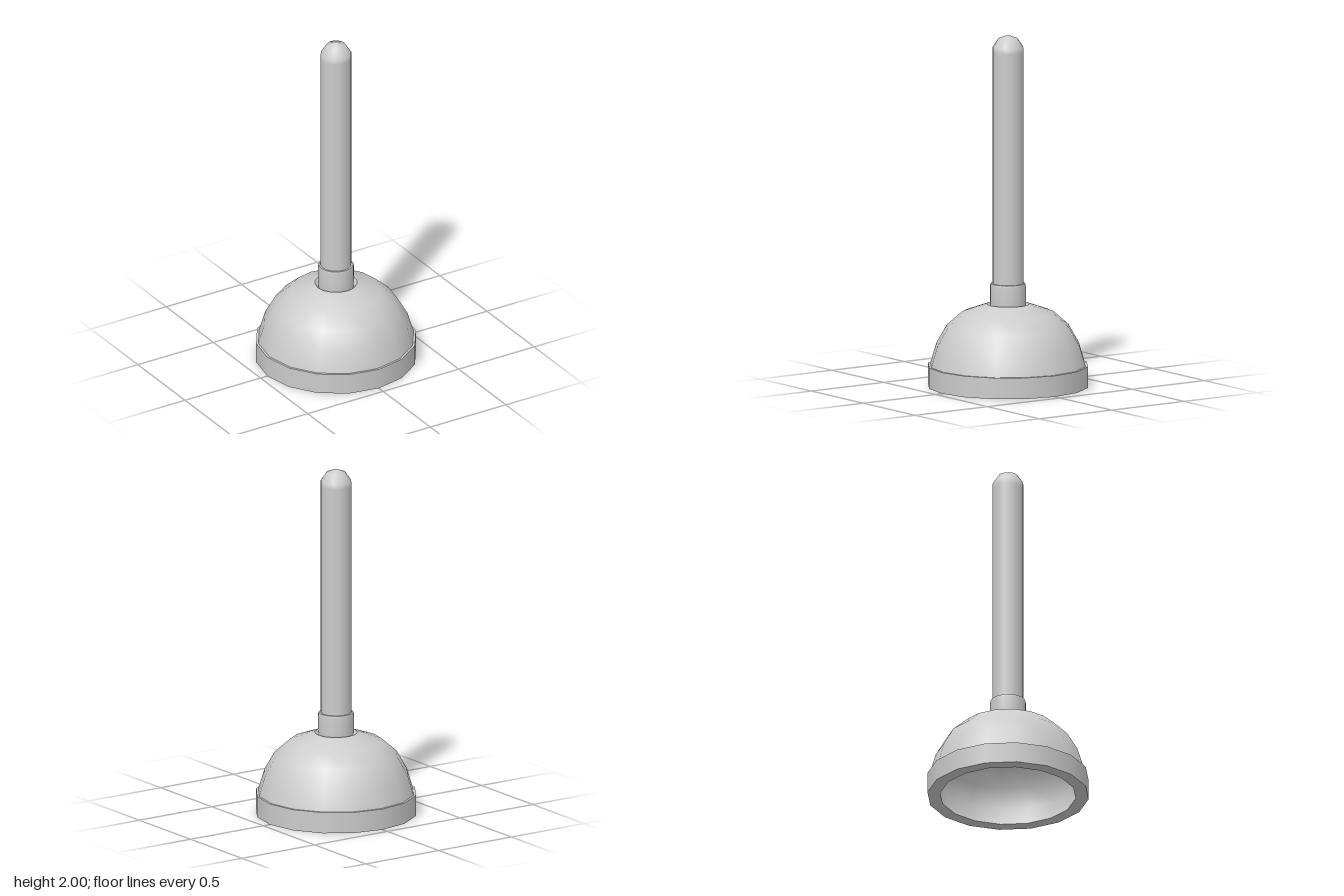
import * as THREE from 'three';

const SIDES = 16;
const material = new THREE.MeshStandardMaterial({ color: 0xcccccc });

// Revolves a profile of [radius, height] points, smooth along its length.
function turned(name, profile) {
  const points = profile.map(([r, y]) => new THREE.Vector2(r, y));
  const mesh = new THREE.Mesh(new THREE.LatheGeometry(points, SIDES), material);
  mesh.name = name;
  return mesh;
}

export function createModel() {
  const model = new THREE.Group();
  model.name = 'plunger';

  // Rubber cup: thin shell with a hole at the top, and a thick inturned rim
  const cup = new THREE.Group();
  cup.name = 'cup';
  cup.add(
    turned('cupInside', [
      [0.1, 0.447], [0.252, 0.403], [0.335, 0.33], [0.394, 0.23], [0.427, 0.12], [0.382, 0],
    ]),
    turned('rimUnderside', [[0.382, 0], [0.455, 0]]),
    turned('rimBand', [[0.455, 0], [0.455, 0.12]]),
    turned('rimLedge', [[0.455, 0.12], [0.435, 0.12]]),
    turned('dome', [
      [0.442, 0.12], [0.408, 0.235], [0.348, 0.34], [0.26, 0.418], [0.12, 0.468],
    ]),
    turned('holeWall', [[0.12, 0.468], [0.1, 0.447]]),
  );
  model.add(cup);

  // Collar gripping the handle and plugging the hole
  const collar = new THREE.Group();
  collar.name = 'collar';
  collar.add(
    turned('collarBottom', [[0, 0.447], [0.1, 0.447]]),
    turned('collarSide', [[0.1, 0.447], [0.102, 0.48], [0.102, 0.57], [0.098, 0.585]]),
    turned('collarTop', [[0.098, 0.585], [0.08, 0.585]]),
  );
  model.add(collar);

  // Straight handle with a rounded tip
  model.add(turned('handle', [
    [0.087, 0.45], [0.087, 1.9], [0.087, 1.93], [0.054, 1.98], [0, 2],
  ]));

  return model;
}
